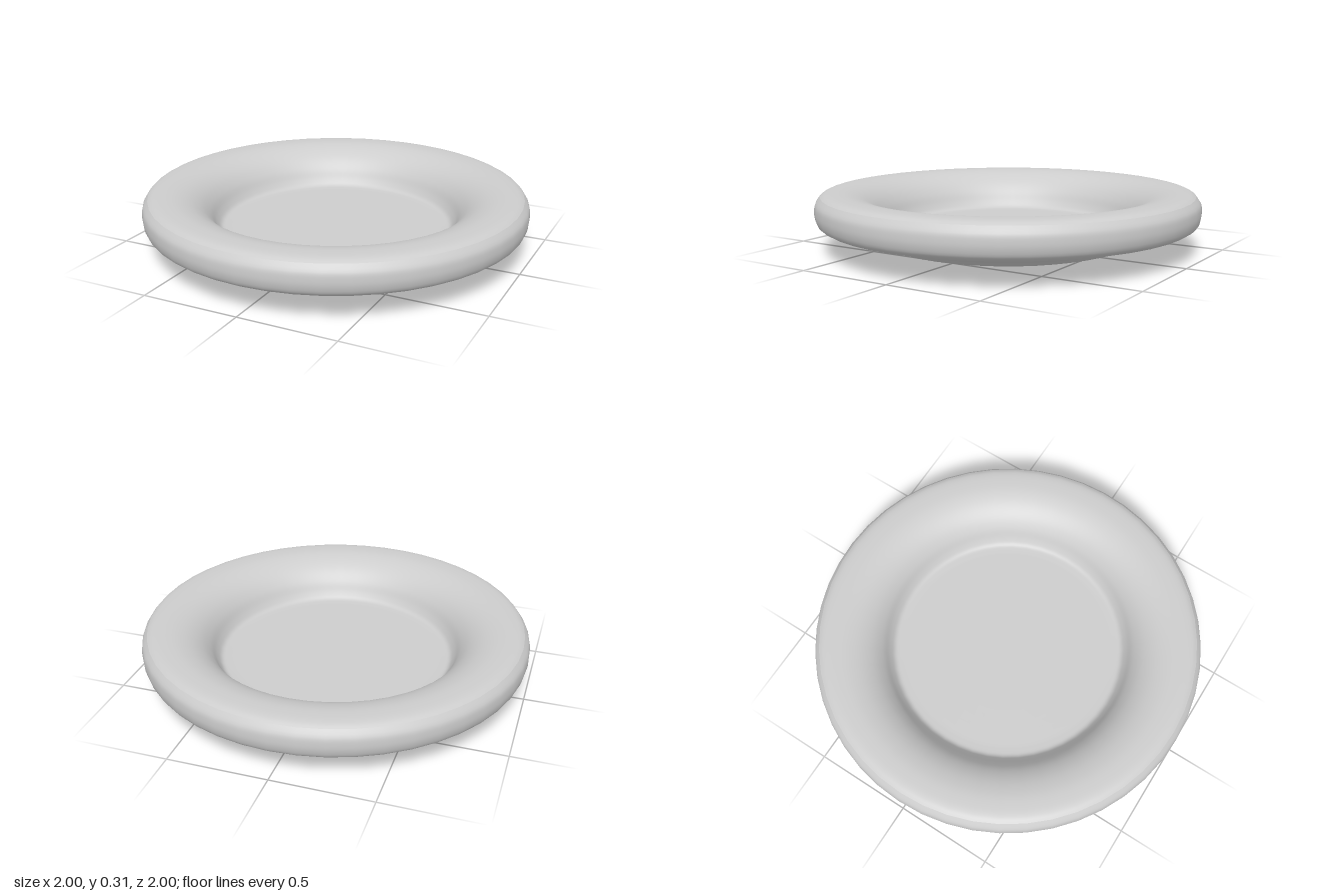
import * as THREE from 'three';

const SEGMENTS = 48;

// Revolve a smooth curve through [radius, height] points
function revolve(name, points, samples, material) {
  const curve = new THREE.SplineCurve(points.map(([r, y]) => new THREE.Vector2(r, y)));
  const profile = curve.getPoints(samples);
  profile.forEach((p) => { p.x = Math.max(0, p.x); p.y = Math.max(0, p.y); });
  const mesh = new THREE.Mesh(new THREE.LatheGeometry(profile, SEGMENTS), material);
  mesh.name = name;
  return mesh;
}

export function createModel() {
  const group = new THREE.Group();
  group.name = 'plate';
  const ceramic = new THREE.MeshStandardMaterial({ color: 0xcccccc });
  ceramic.name = 'pale grey ceramic';

  // Underside: shallow foot flaring out to the rim
  group.add(revolve('underside', [
    [0, 0], [0.28, 0.003], [0.48, 0.011], [0.58, 0.022], [0.66, 0.042],
    [0.73, 0.072], [0.8, 0.098], [0.88, 0.115], [0.955, 0.13],
  ], 32, ceramic));

  // Rounded outer edge, creased where it meets the top and the underside
  group.add(revolve('outerEdge', [
    [0.955, 0.13], [0.985, 0.15], [0.998, 0.185], [1, 0.22], [0.994, 0.255], [0.97, 0.288],
  ], 16, ceramic));

  // Broad convex rim rolling down a steep wall into the well
  group.add(revolve('rimAndWell', [
    [0.97, 0.288], [0.945, 0.3], [0.9, 0.305], [0.83, 0.302], [0.76, 0.282],
    [0.7, 0.245], [0.655, 0.195], [0.625, 0.14], [0.6, 0.108], [0.565, 0.101],
    [0.5, 0.1], [0.25, 0.1], [0, 0.1],
  ], 52, ceramic));

  return group;
}
